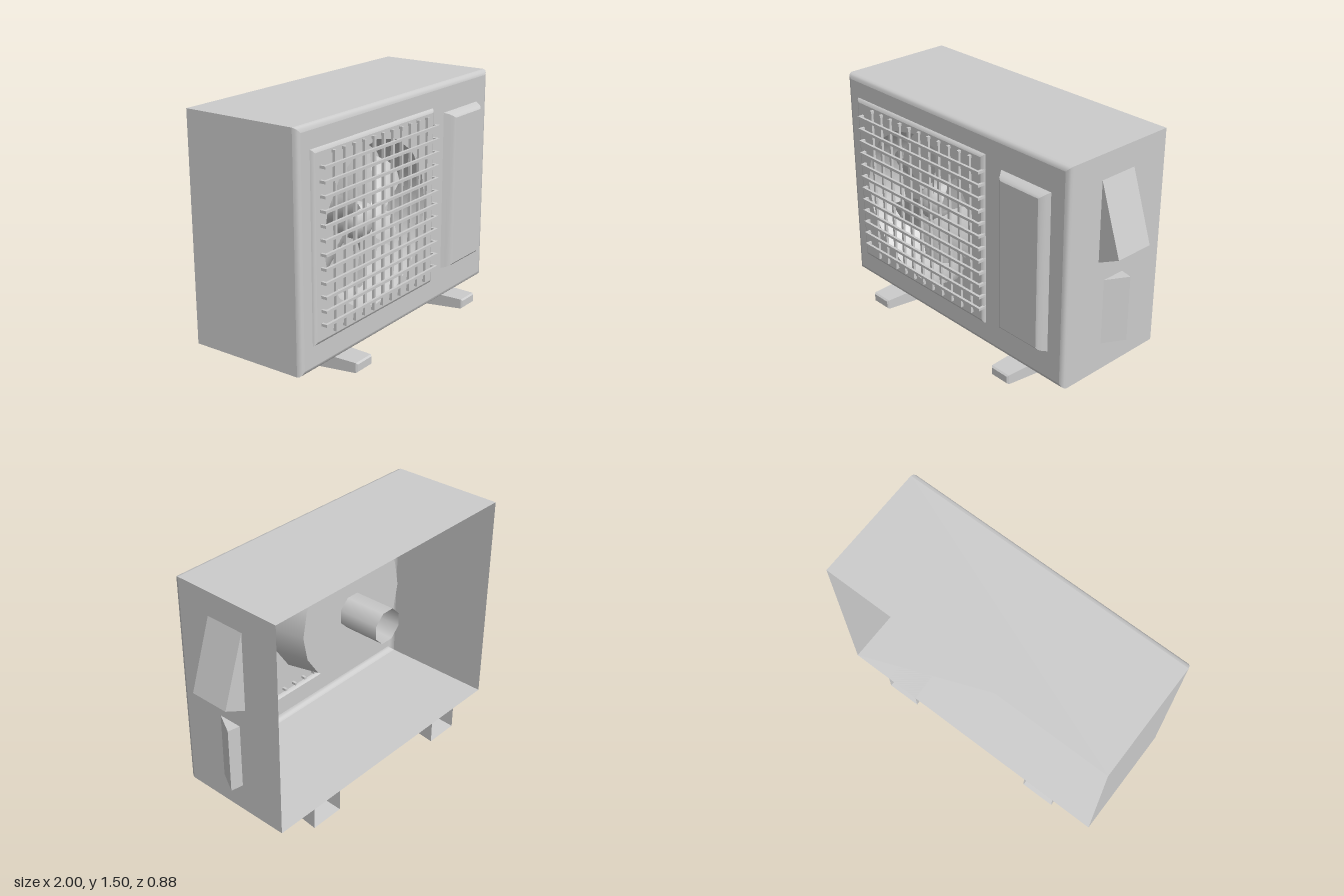
import * as THREE from 'three';
import { mergeGeometries } from 'three/addons/utils/BufferGeometryUtils.js';

const material = new THREE.MeshStandardMaterial({ color: 0xcccccc, side: THREE.DoubleSide });
const lerp = THREE.MathUtils.lerp;

// Smooth sheet through rows of points
function sheet(rows) {
  const n = rows[0].length, index = [];
  for (let i = 0; i < rows.length - 1; i++) {
    for (let j = 0; j < n - 1; j++) {
      const a = i * n + j, b = a + 1, c = a + n, d = c + 1;
      index.push(a, b, c, b, d, c);
    }
  }
  const g = new THREE.BufferGeometry();
  g.setAttribute('position', new THREE.Float32BufferAttribute(rows.flat(2), 3));
  g.setIndex(index);
  g.computeVertexNormals();
  return g;
}

// Flat triangle or quad, corners counter-clockwise
const face = (a, b, c, d) => sheet([[a, b], [d || c, c]]);

// Rectangle ring, shrunk by an inset, at depth z
function ring([x0, x1, y0, y1], z, inset = 0) {
  const l = x0 + inset, r = x1 - inset, b = y0 + inset, t = y1 - inset;
  return [[l, b, z], [r, b, z], [r, t, z], [l, t, z]];
}

// Four walls through rings from back to front, sharp along the corners
function walls(rings, sides = [0, 1, 2, 3]) {
  return sides.map((k) => sheet(rings.map((r) => [r[k], r[(k + 1) % 4]])));
}

const path = (pts, Type = THREE.Shape) => new Type(pts.map(([x, y]) => new THREE.Vector2(x, y)));
const rectPath = (r, Type) => path(ring(r, 0), Type);

function plate(outline, holes) {
  const shape = path(outline);
  shape.holes = holes;
  const g = new THREE.ShapeGeometry(shape);
  g.deleteAttribute('uv');
  return g;
}

export function createModel() {
  const model = new THREE.Group();
  const add = (name, geometry, parent = model) => {
    const m = new THREE.Mesh(Array.isArray(geometry) ? mergeGeometries(geometry) : geometry, material);
    m.name = name;
    parent.add(m);
    return m;
  };
  const group = (name) => {
    const g = new THREE.Group();
    g.name = name;
    model.add(g);
    return g;
  };

  // Casing: open at the back, rounded around the front edge
  const body = [-1, 0.86, 0.14, 1.5];
  const fanPanel = [-0.9, 0.235, 0.29, 1.37];
  const sidePanel = [0.36, 0.735, 0.34, 1.32];
  const zBack = -0.44, zFront = 0.31;
  add('casingWalls', walls([ring(body, zBack), ring(body, 0.28)], [0, 2, 3]));
  add('casingFrontEdge', walls([
    ring(body, 0.28), ring(body, 0.295, 0.004), ring(body, 0.306, 0.014), ring(body, zFront, 0.03),
  ]));
  const front = plate(ring(body, 0, 0.03), [rectPath(fanPanel, THREE.Path), rectPath(sidePanel, THREE.Path)]);
  add('casingFront', front.translate(0, 0, zFront));
  const rightSide = plate(ring([-0.28, 0.44, 0.14, 1.5], 0), [
    rectPath([-0.06, 0.19, 0.86, 1.35], THREE.Path),
    rectPath([-0.01, 0.14, 0.315, 0.73], THREE.Path),
  ]);
  add('casingSide', rightSide.rotateY(Math.PI / 2).translate(0.86, 0, 0));

  // Embossed panel beside the fan
  const inner = [0.41, 0.695, 0.368, 1.288];
  add('sidePanelBevel', walls([
    ring(sidePanel, zFront), ring([0.38, 0.722, 0.347, 1.311], 0.335),
    ring([0.395, 0.708, 0.357, 1.3], 0.357), ring(inner, 0.365),
  ]));
  add('sidePanelFace', face(...ring(inner, 0.365)));

  // Embossed panel with the round fan opening
  const cx = -0.34, cy = 0.83, sides = 16, zPanel = 0.328;
  const circle = Array.from({ length: sides }, (_, i) => {
    const a = (i / sides) * Math.PI * 2;
    return [cx + 0.48 * Math.cos(a), cy + 0.48 * Math.sin(a)];
  });
  add('fanPanelBevel', walls([
    ring(fanPanel, zFront), ring(fanPanel, 0.322, 0.006), ring(fanPanel, zPanel, 0.02),
  ]));
  const fanFace = plate(ring(fanPanel, 0, 0.02), [path(circle, THREE.Path)]);
  add('fanPanelFace', fanFace.translate(0, 0, zPanel));

  // Tapered fan well with a closed back
  const fan = group('fan');
  fan.position.set(cx, cy, 0);
  const zWell = 0.1;
  const well = new THREE.CylinderGeometry(0.48, 0.44, zPanel - zWell, sides, 1, true);
  add('fanWell', well.rotateX(Math.PI / 2).rotateZ(Math.PI / 2).translate(0, 0, (zPanel + zWell) / 2), fan);
  add('fanWellBack', new THREE.CircleGeometry(0.44, sides).translate(0, 0, zWell), fan);

  // Domed hub running back into an open motor sleeve
  const hub = [[0.115, -0.18], [0.115, 0.1], [0.115, 0.21], [0.095, 0.25], [0.05, 0.272], [0, 0.278]];
  add('hub', new THREE.LatheGeometry(hub.map((p) => new THREE.Vector2(...p)), 8)
    .rotateX(Math.PI / 2).rotateZ(Math.PI / 8), fan);

  // Six twisted blades
  const rows = [];
  for (let i = 0; i <= 6; i++) {
    const t = i / 6, r = lerp(0.09, 0.41, t);
    const half = lerp(0.055, 0.1, Math.sqrt(t)), pitch = lerp(0.85, 0.4, t);
    rows.push([-1, -0.5, 0, 0.5, 1].map((u) => {
      const x = u * half;
      const y = Math.sqrt(r * r - x * x) - 0.02 * t * u * u;
      return [x, y, 0.2 + x * Math.tan(pitch) - 0.015 * u * u];
    }));
  }
  const blade = sheet(rows);
  for (let i = 0; i < 6; i++) {
    add('blade', blade, fan).rotation.z = THREE.MathUtils.degToRad(5 + i * 60);
  }

  // Grille: bars bent back into the panel at both ends
  const grille = group('grille');
  const t = 0.016, zLeg = 0.3;
  const box = (w, h, d, x, y, z) => new THREE.BoxGeometry(w, h, d).translate(x, y, z);
  for (let i = 0; i < 12; i++) {
    const y = lerp(0.4, 1.272, i / 11), z = 0.357, d = z - zLeg;
    add('horizontalBar', [
      box(1.08, t, t, -0.305, y, z),
      ...[-0.837, 0.227].map((x) => box(t, t, d, x, y, zLeg + d / 2)),
    ], grille);
  }
  for (let i = 0; i < 11; i++) {
    const x = lerp(-0.735, 0.137, i / 10), z = 0.341, d = z - zLeg;
    add('verticalBar', [
      box(t, 1.01, t, x, 0.835, z),
      ...[0.338, 1.332].map((y) => box(t, t, d, x, y, zLeg + d / 2)),
    ], grille);
  }

  // Upper wedge cover on the side, open towards the casing
  const [A, B, C] = [[0.86, 1.35], [1, 0.93], [0.86, 0.86]].map((p) => [[...p, 0.06], [...p, -0.19]]);
  add('upperSideCover', [
    face(B[0], B[1], A[1], A[0]), face(C[0], C[1], B[1], B[0]),
    face(C[0], B[0], A[0]), face(C[1], A[1], B[1]),
  ]);

  // Lower grip, sloping out towards the back
  const [D, E, F] = [[0.86, 0.01], [0.935, -0.125], [0.86, -0.14]]
    .map(([x, z]) => [[x, 0.315, z], [x, 0.73, z]]);
  add('lowerSideGrip', [
    face(D[0], E[0], E[1], D[1]), face(E[0], F[0], F[1], E[1]),
    face(D[1], E[1], F[1]), face(D[0], F[0], E[0]),
  ]);

  // Tapered feet, hollow at the back
  for (const x of [-0.61, 0.485]) {
    const tip = [x - 0.07, x + 0.07, 0.08, 0.14];
    const cap = ring(tip, 0.44, 0.008);
    add('foot', [
      ...walls([ring([x - 0.11, x + 0.11, 0, 0.14], -0.44), ring(tip, 0.43)]),
      ...walls([ring(tip, 0.43), cap]),
      face(...cap),
    ]);
  }

  return model;
}
